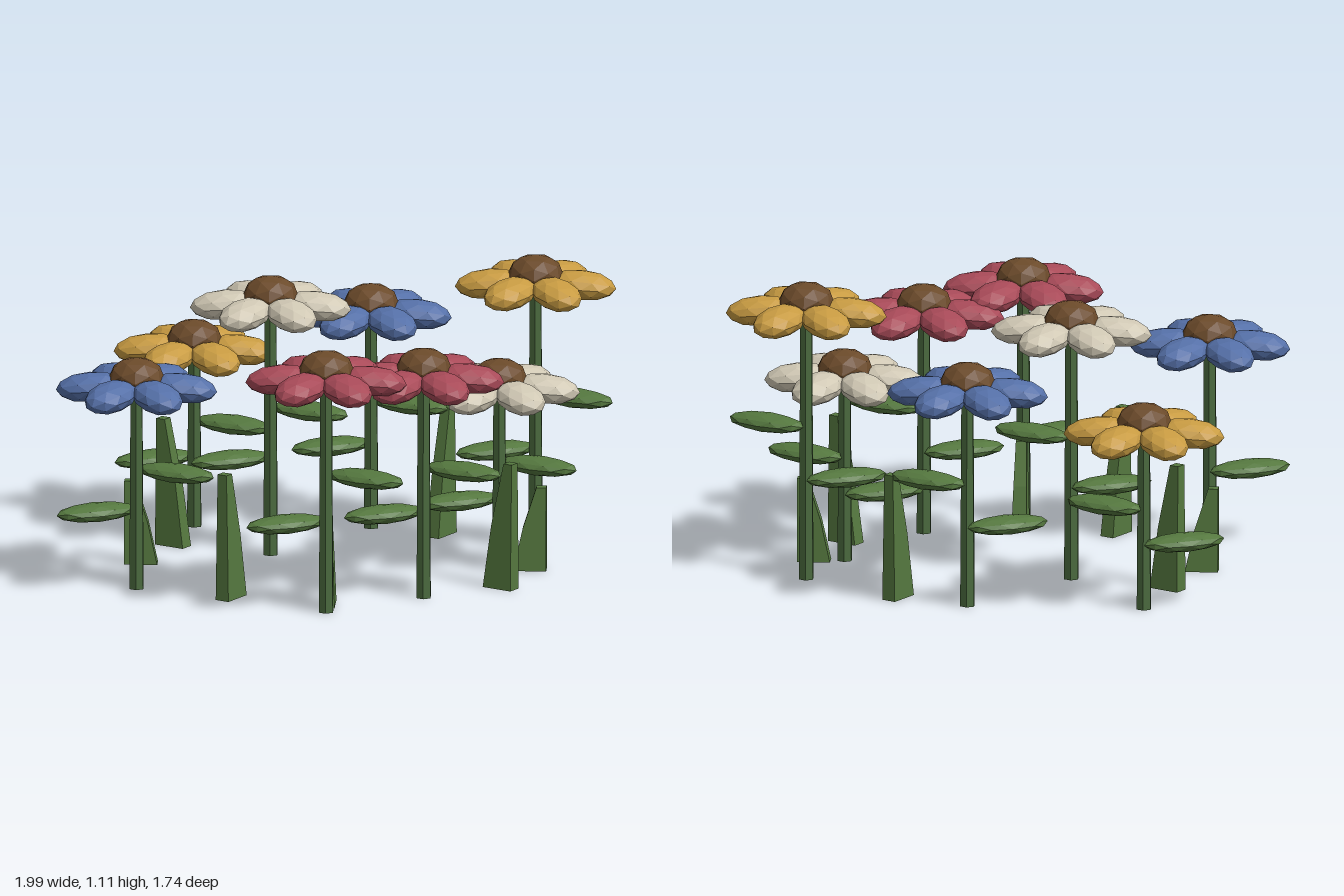
import * as THREE from 'three';

const mat = (color) => new THREE.MeshStandardMaterial({ color, flatShading: true });
const YELLOW = mat(0xc89b42), BLUE = mat(0x5570a8), RED = mat(0xa84a58), WHITE = mat(0xd0c8b4);
const BROWN = mat(0x6b4a2a), STEM = mat(0x4a6a3e), LEAF = mat(0x55783f);

function part(name, geometry, material, x = 0, y = 0, z = 0) {
  const mesh = new THREE.Mesh(geometry, material);
  mesh.name = name;
  mesh.position.set(x, y, z);
  return mesh;
}

// Faceted ellipsoid: half length (x), half thickness (y), half width (z)
function facetedBlob(length, thickness, width) {
  return new THREE.IcosahedronGeometry(1, 1).rotateX(Math.PI / 2).scale(length, thickness, width);
}

// Petal drooping slightly towards its tip, pointing along +x
const petalGeometry = facetedBlob(0.125, 0.053, 0.083).rotateZ(-0.1).translate(0.168, 0, 0);
const coreGeometry = new THREE.IcosahedronGeometry(1, 1).scale(0.102, 0.076, 0.102);
const leafGeometry = facetedBlob(0.155, 0.033, 0.07);

function createFlower(x, z, height, petalMaterial) {
  const flower = new THREE.Group();
  flower.name = 'flower';
  flower.position.set(x, 0, z);

  const stem = new THREE.CylinderGeometry(0.024, 0.029, height, 6);
  flower.add(part('stem', stem, STEM, 0, height / 2, 0));

  for (let i = 0; i < 6; i++) {
    const petal = part('petal', petalGeometry, petalMaterial, 0, height, 0);
    petal.rotation.y = (i * Math.PI) / 3;
    flower.add(petal);
  }
  flower.add(part('flowerCore', coreGeometry, BROWN, 0, height + 0.036, 0));

  // One low and one high leaf, both swept towards the front
  for (const [side, level] of [[-1, 0.38], [1, 0.58]]) {
    const leaf = part('leaf', leafGeometry, LEAF, side * 0.145, height * level, 0.01);
    leaf.rotation.y = -side * 0.45;
    flower.add(leaf);
  }
  return flower;
}

// Upright blade narrowing towards its +x edge
function createBlade(x, z, height, angle) {
  const geometry = new THREE.BoxGeometry(0.12, height, 0.055, 1, 2, 1);
  const p = geometry.attributes.position;
  for (let i = 0; i < p.count; i++) {
    const t = THREE.MathUtils.clamp(p.getY(i) / height + 0.5, 0, 1);
    const narrow = 1 - 0.7 * t ** 1.3;
    p.setXYZ(i, 0.06 + (p.getX(i) - 0.06) * narrow, t * height, p.getZ(i) * (1 - 0.3 * t));
  }
  const blade = part('grassBlade', geometry, LEAF, x, 0, z);
  blade.rotation.y = angle;
  return blade;
}

export function createModel() {
  const model = new THREE.Group();
  model.name = 'flowerPatch';

  // x, z, height, petal colour
  const flowers = [
    [-0.55, -0.6, 0.66, YELLOW],
    [0.09, -0.615, 0.8, BLUE],
    [-0.25, -0.205, 0.93, WHITE],
    [0.705, -0.295, 1.0, YELLOW],
    [0.59, -0.025, 0.68, WHITE],
    [0.34, 0.385, 0.82, RED],
    [0, 0.615, 0.865, RED],
    [-0.705, 0.315, 0.75, BLUE],
  ];
  for (const flower of flowers) model.add(createFlower(...flower));

  // x, z, height, direction of the lean in degrees
  const blades = [
    [-0.71, -0.05, 0.31, 180],
    [-0.61, -0.315, 0.47, 150],
    [-0.355, 0.43, 0.47, 240],
    [0.35, -0.525, 0.47, 60],
    [0.61, 0.23, 0.47, -30],
    [0.7, -0.04, 0.31, 0],
    [0, 0.505, 0.31, -90],
  ];
  for (const [x, z, height, degrees] of blades) {
    model.add(createBlade(x, z, height, THREE.MathUtils.degToRad(degrees)));
  }
  return model;
}
